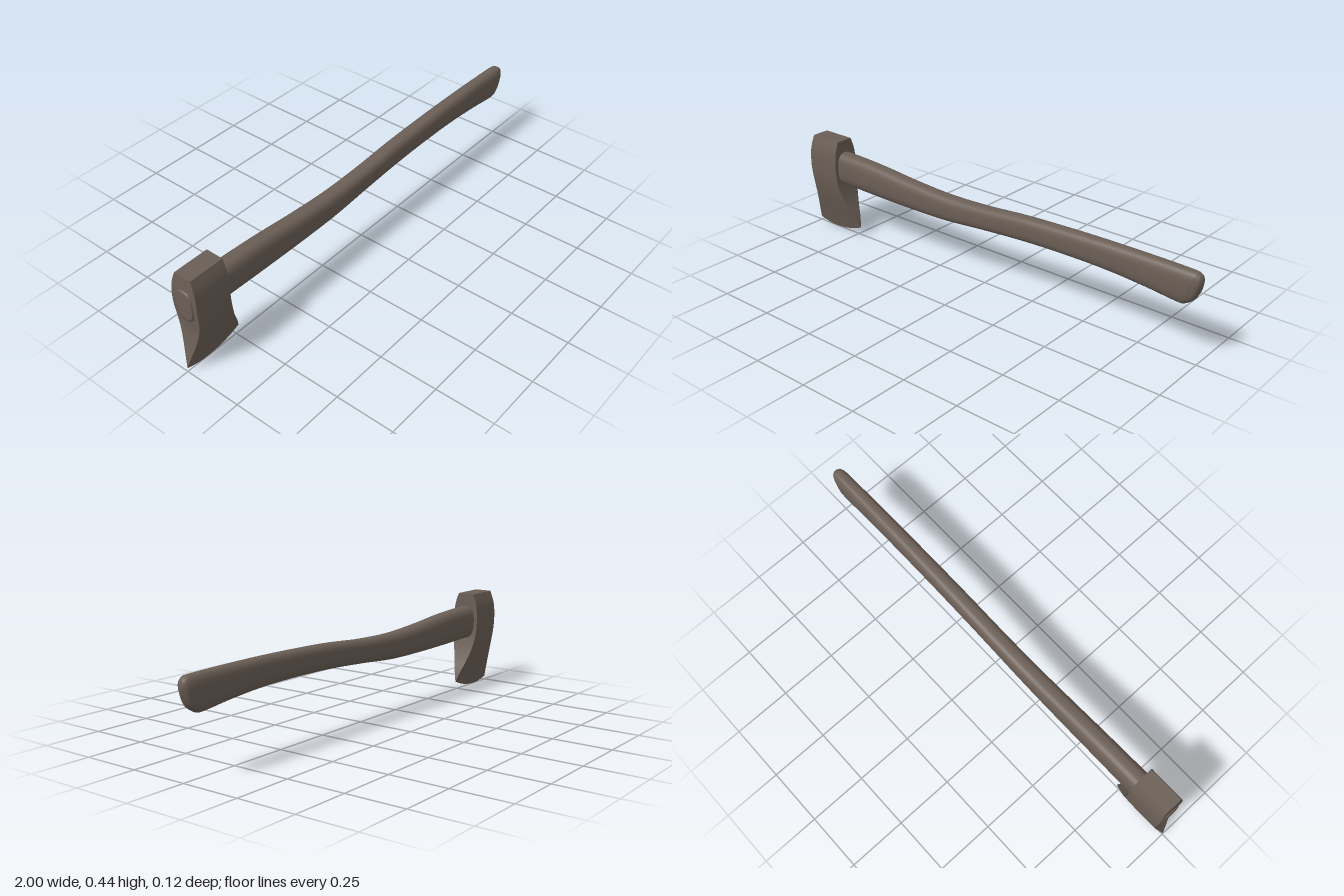
import * as THREE from 'three';
import { mergeVertices } from 'three/addons/utils/BufferGeometryUtils.js';

// Catmull-Rom sample of every column of a table of rows, t in 0..1
function sample(rows, t) {
  const n = rows.length - 1, f = Math.min(t * n, n - 1e-9), i = Math.floor(f), k = f - i;
  const at = (j) => rows[Math.max(0, Math.min(n, j))];
  return rows[0].map((_, c) => {
    const a = at(i - 1)[c], b = at(i)[c], d = at(i + 1)[c], e = at(i + 2)[c];
    const m0 = (d - a) / 2, m1 = (e - b) / 2;
    return (2 * b - 2 * d + m0 + m1) * k ** 3 + (3 * d - 3 * b - 2 * m0 - m1) * k * k + m0 * k + b;
  });
}

// Smooth surface from point(u, v); u cross v points outward
function patch(point, nu, nv) {
  const pos = [], index = [];
  for (let i = 0; i <= nu; i++) for (let j = 0; j <= nv; j++) pos.push(...point(i / nu, j / nv));
  for (let i = 0; i < nu; i++) for (let j = 0; j < nv; j++) {
    const a = i * (nv + 1) + j, b = a + nv + 1;
    index.push(a, b, b + 1, a, b + 1, a + 1);
  }
  let g = new THREE.BufferGeometry();
  g.setAttribute('position', new THREE.Float32BufferAttribute(pos, 3));
  g.setIndex(index);
  g = mergeVertices(g, 1e-5);
  g.computeVertexNormals();
  return g;
}

// Rounded-rectangle sections; rows are [xTop, yTop, xBottom, yBottom, halfWidth]
function loft(rows, steps) {
  const round = (c) => Math.sign(c) * Math.abs(c) ** 0.72;
  return patch((u, v) => {
    const [xt, yt, xb, yb, w] = sample(rows, u);
    const a = (v % 1) * Math.PI * 2, s = (round(Math.sin(a)) + 1) / 2;
    return [xb + (xt - xb) * s, yb + (yt - yb) * s, w * round(Math.cos(a))];
  }, steps, 40);
}

export function createModel() {
  const group = new THREE.Group();
  const brown = new THREE.MeshStandardMaterial({ color: 0x6b5f56 });
  brown.name = 'darkBrown';
  const add = (parent, name, geometry) => {
    const mesh = new THREE.Mesh(geometry, brown);
    mesh.name = name;
    parent.add(mesh);
  };

  // Head profile from cutting edge to poll: [y, left x, right x, half thickness]
  const profile = [
    [0, -1, -0.735, 0], [0.06, -0.988, -0.752, 0.016], [0.12, -0.975, -0.776, 0.033],
    [0.18, -0.967, -0.795, 0.048], [0.24, -0.968, -0.808, 0.058], [0.3, -0.973, -0.813, 0.0615],
    [0.36, -0.973, -0.813, 0.06], [0.4, -0.971, -0.813, 0.053], [0.44, -0.968, -0.813, 0.039],
  ];
  const headPoint = (u, v, side) => {
    const [y, l, r, w] = sample(profile, v);
    const d = u - 0.38, curve = d * d * (d < 0 ? 0.12 : 0.09); // bowed cutting edge
    return [l + (r - l) * u, y + curve * (1 - v) ** 3, w * side];
  };
  const head = new THREE.Group();
  head.name = 'axeHead';
  group.add(head);
  add(head, 'frontCheek', patch((u, v) => headPoint(u, v, 1), 16, 40));
  add(head, 'backCheek', patch((u, v) => headPoint(1 - u, v, -1), 16, 40));
  add(head, 'innerFace', patch((u, v) => headPoint(1, v, 1 - 2 * u), 2, 40));
  add(head, 'outerFace', patch((u, v) => headPoint(0, v, 2 * u - 1), 2, 40));
  add(head, 'poll', patch((u, v) => headPoint(u, 1, 1 - 2 * v), 2, 2));

  // Curved handle with a rounded, slanted knob end
  add(group, 'handle', loft([
    [-0.97, 0.383, -0.97, 0.238, 0.045], [-0.8, 0.383, -0.8, 0.237, 0.045],
    [-0.6, 0.374, -0.6, 0.232, 0.0435], [-0.4, 0.356, -0.4, 0.23, 0.042],
    [-0.2, 0.345, -0.2, 0.233, 0.04], [0, 0.35, 0, 0.249, 0.038],
    [0.2, 0.365, 0.2, 0.262, 0.037], [0.4, 0.373, 0.4, 0.267, 0.036],
    [0.6, 0.377, 0.6, 0.264, 0.035], [0.79, 0.377, 0.77, 0.251, 0.034],
    [0.95, 0.374, 0.91, 0.235, 0.033], [0.983, 0.368, 0.942, 0.241, 0.029],
    [0.996, 0.352, 0.972, 0.264, 0.021], [0.999, 0.322, 0.996, 0.31, 0],
  ], 104));

  // Handle end showing through the eye of the head
  add(group, 'eyeEnd', loft([
    [-0.978, 0.31, -0.978, 0.31, 0], [-0.978, 0.37, -0.978, 0.25, 0.036],
    [-0.976, 0.378, -0.976, 0.242, 0.042], [-0.965, 0.38, -0.965, 0.24, 0.043],
  ], 3));
  return group;
}
